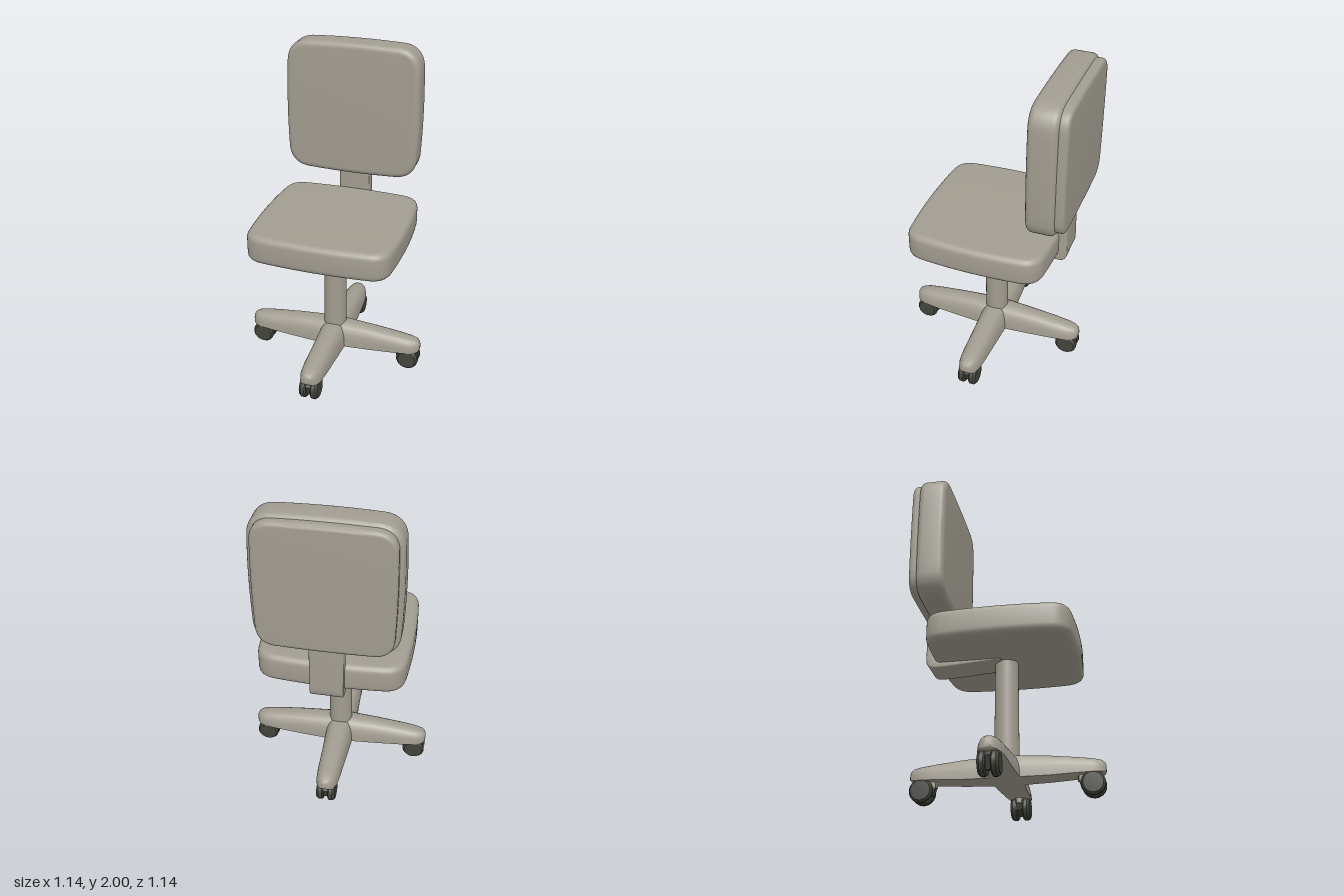
import * as THREE from 'three';
import { toCreasedNormals } from 'three/addons/utils/BufferGeometryUtils.js';

const shell = new THREE.MeshStandardMaterial({ color: 0xa29d91 });
shell.name = 'warm grey';
const rubber = new THREE.MeshStandardMaterial({ color: 0x43443b });
rubber.name = 'dark rubber';

function part(name, geometry, material, parent) {
  const mesh = new THREE.Mesh(geometry, material);
  mesh.name = name;
  parent.add(mesh);
  return mesh;
}

// Rounded pad lying in xy, thickness along z (centred), sides bulging slightly
function pad(w, h, t, r, bevel, bulge) {
  const x = w / 2 - bulge, y = h / 2 - bulge, X = w / 2 + bulge, Y = h / 2 + bulge;
  const s = new THREE.Shape();
  s.moveTo(-x + r, -y);
  s.quadraticCurveTo(0, -Y, x - r, -y);
  s.quadraticCurveTo(x - r * 0.12, -y + r * 0.12, x, -y + r);
  s.quadraticCurveTo(X, 0, x, y - r);
  s.quadraticCurveTo(x - r * 0.12, y - r * 0.12, x - r, y);
  s.quadraticCurveTo(0, Y, -x + r, y);
  s.quadraticCurveTo(-x + r * 0.12, y - r * 0.12, -x, y - r);
  s.quadraticCurveTo(-X, 0, -x, -y + r);
  s.quadraticCurveTo(-x + r * 0.12, -y + r * 0.12, -x + r, -y);
  const g = new THREE.ExtrudeGeometry(s, {
    depth: t - 2 * bevel, bevelThickness: bevel, bevelSize: bevel,
    bevelOffset: -bevel, bevelSegments: 5, curveSegments: 10,
  });
  g.translate(0, 0, bevel - t / 2);
  return toCreasedNormals(g, 0.7);
}

// Arched leg along +x: stations are [x, half width, bottom, top]
function legGeometry() {
  const stations = [
    [0, 0.09, 0.11, 0.26], [0.1, 0.088, 0.11, 0.255], [0.25, 0.08, 0.113, 0.245],
    [0.42, 0.073, 0.122, 0.226], [0.5, 0.066, 0.126, 0.215],
    [0.54, 0.052, 0.128, 0.207], [0.56, 0.036, 0.132, 0.195], [0.568, 0.018, 0.14, 0.18],
  ];
  const n = 14, pos = [], idx = [];
  for (const [x, w, b, t] of stations) {
    for (let i = 0; i < n; i++) {
      const a = (i / (n - 1)) * Math.PI, c = Math.cos(a);
      pos.push(x, b + (t - b) * Math.pow(Math.sin(a), 0.75), w * Math.sign(c) * Math.pow(Math.abs(c), 0.8));
    }
  }
  const last = stations.length - 1;
  for (let j = 0; j < last; j++) {
    for (let i = 0; i < n; i++) {
      const k = (i + 1) % n, a = j * n + i, b = j * n + k;
      idx.push(a, a + n, b, b, a + n, b + n);
    }
  }
  for (let i = 1; i < n - 1; i++) idx.push(last * n, last * n + i + 1, last * n + i);
  // Orient every face outward from the leg's axis
  for (let f = 0; f < idx.length; f += 3) {
    const [A, B, C] = [0, 1, 2].map((q) => new THREE.Vector3().fromArray(pos, idx[f + q] * 3));
    const mid = A.clone().add(B).add(C).divideScalar(3);
    const normal = B.sub(A).cross(C.sub(A));
    if (normal.dot(mid.sub(new THREE.Vector3(Math.min(mid.x, 0.53), 0.165, 0))) < 0) {
      [idx[f + 1], idx[f + 2]] = [idx[f + 2], idx[f + 1]];
    }
  }
  const g = new THREE.BufferGeometry();
  g.setAttribute('position', new THREE.Float32BufferAttribute(pos, 3));
  g.setIndex(idx);
  return toCreasedNormals(g, 0.9);
}

// Twin-wheel caster under the tip of a leg
function addCaster(leg) {
  const caster = new THREE.Group();
  caster.name = 'caster';
  caster.position.set(0.495, 0.07, 0);
  leg.add(caster);
  const profile = [[0, -0.022], [0.062, -0.022], [0.07, -0.014], [0.07, 0.008], [0.058, 0.022], [0, 0.024]]
    .map(([r, y]) => new THREE.Vector2(r, y));
  for (const side of [-1, 1]) {
    const wheel = part('wheel', toCreasedNormals(new THREE.LatheGeometry(profile, 18), 0.6), rubber, caster);
    wheel.rotation.x = side * Math.PI / 2;
    wheel.position.z = side * 0.036;
  }
  const hood = new THREE.Shape();
  hood.moveTo(-0.085, 0.035);
  hood.lineTo(-0.07, -0.02);
  hood.lineTo(0.03, -0.04);
  hood.lineTo(0.055, 0.03);
  hood.lineTo(0.03, 0.062);
  hood.lineTo(-0.075, 0.062);
  const hoodGeo = new THREE.ExtrudeGeometry(hood, { depth: 0.04, bevelEnabled: false });
  hoodGeo.translate(0, 0, -0.02);
  part('casterHood', hoodGeo, rubber, caster);
  part('casterStem', new THREE.CylinderGeometry(0.025, 0.025, 0.05, 14), shell, caster)
    .position.set(-0.065, 0.045, 0);
}

export function createModel() {
  const chair = new THREE.Group();
  chair.name = 'officeChair';

  // Seat cushion
  const seatGeo = pad(0.92, 0.88, 0.18, 0.11, 0.04, 0.016);
  seatGeo.rotateX(-Math.PI / 2);
  part('seat', seatGeo, shell, chair).position.set(0, 0.928, 0.01);

  // Backrest cushion and rear shell
  part('backrestCushion', pad(0.85, 0.845, 0.17, 0.12, 0.035, 0.008), shell, chair)
    .position.set(0, 1.577, -0.395);
  part('backrestShell', pad(0.79, 0.8, 0.1, 0.1, 0.025, 0.006), shell, chair)
    .position.set(0, 1.58, -0.48);

  // Bent bracket joining seat and backrest, drawn in side profile
  const s = new THREE.Shape();
  s.moveTo(0.02, 0.832);
  s.lineTo(0.36, 0.806);
  s.lineTo(0.43, 0.806);
  s.quadraticCurveTo(0.48, 0.808, 0.481, 0.87);
  s.lineTo(0.472, 1.25);
  s.lineTo(0.398, 1.25);
  s.lineTo(0.398, 0.86);
  s.lineTo(0.02, 0.86);
  const bracket = new THREE.ExtrudeGeometry(s, {
    depth: 0.18, bevelThickness: 0.01, bevelSize: 0.008, bevelOffset: -0.008, bevelSegments: 3,
  });
  bracket.translate(0, 0, -0.09);
  bracket.rotateY(Math.PI / 2);
  part('backBracket', toCreasedNormals(bracket, 0.6), shell, chair);

  // Column
  part('column', new THREE.CylinderGeometry(0.07, 0.073, 0.66, 32), shell, chair).position.y = 0.53;

  // Four-legged base
  const legGeo = legGeometry();
  for (let i = 0; i < 4; i++) {
    const leg = new THREE.Group();
    leg.name = 'baseLeg';
    leg.rotation.y = i * Math.PI / 2;
    part('leg', legGeo, shell, leg);
    addCaster(leg);
    chair.add(leg);
  }
  return chair;
}
